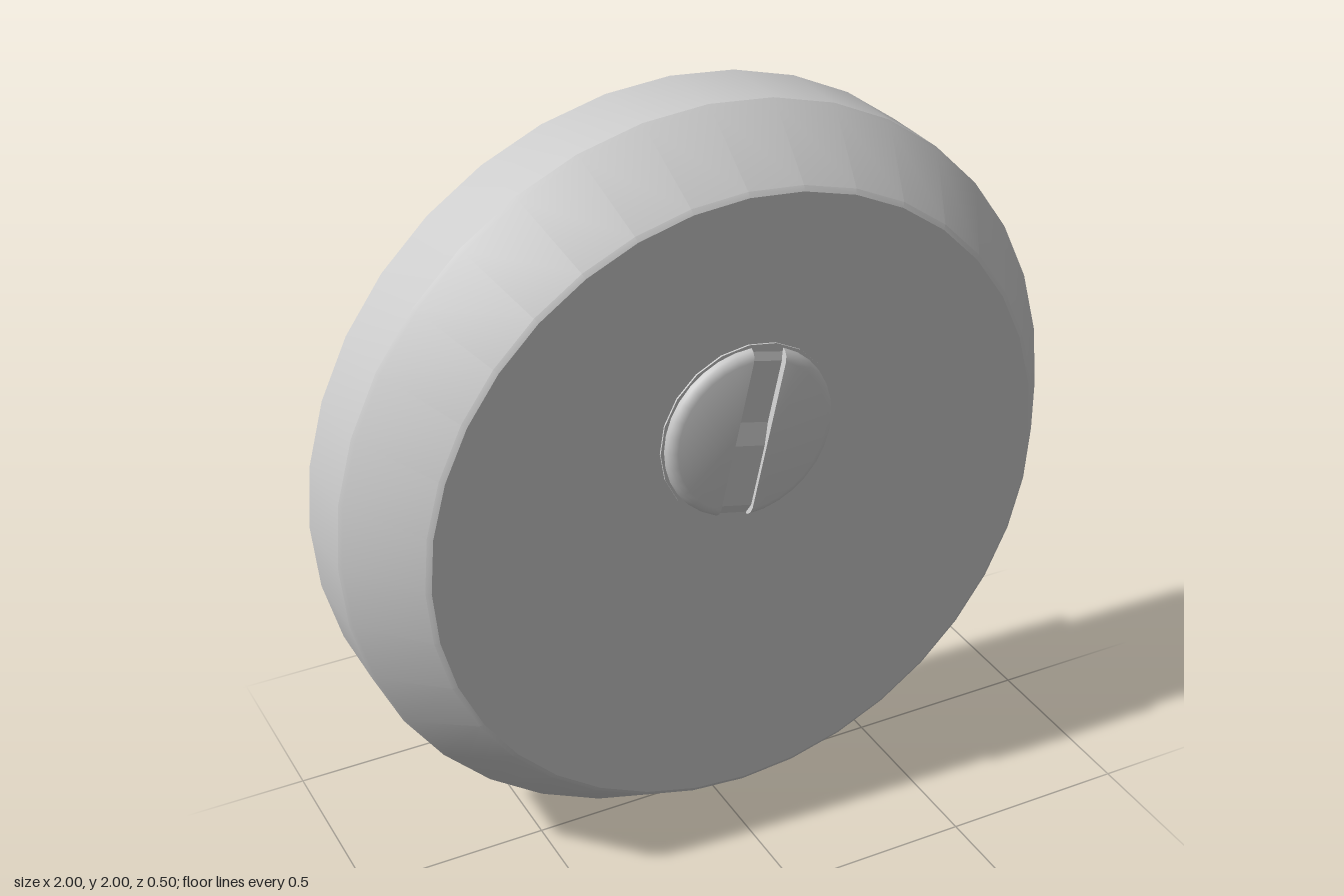
import * as THREE from 'three';
import { toCreasedNormals } from 'three/addons/utils/BufferGeometryUtils.js';

const grey = new THREE.MeshStandardMaterial({ color: 0xcccccc });
const thin = new THREE.MeshStandardMaterial({ color: 0xcccccc, side: THREE.DoubleSide });
const faceted = new THREE.MeshStandardMaterial({ color: 0xcccccc, flatShading: true });

const SLOT = 0.045; // half width of the screw slot

function add(parent, name, geometry, material) {
  const mesh = new THREE.Mesh(geometry, material);
  mesh.name = name;
  parent.add(mesh);
  return mesh;
}

// Half of the rounded screw head: a D cut off at x = SLOT, stacked in rings of [radius, z]
function headHalf() {
  const rings = [[0.232, 0.2], [0.232, 0.222], [0.228, 0.235], [0.219, 0.245], [0.205, 0.25], [SLOT, 0.25]];
  const steps = 14;
  const pos = [];
  const point = (i, j) => {
    const [r, z] = rings[i];
    const half = Math.acos(SLOT / r);
    const a = -half + (2 * half * j) / steps;
    return [r * Math.cos(a), r * Math.sin(a), z];
  };
  const quad = (a, b, c, d) => pos.push(...a, ...b, ...c, ...a, ...c, ...d);
  for (let i = 0; i < rings.length - 1; i++) {
    for (let j = 0; j < steps; j++) {
      quad(point(i, j), point(i, j + 1), point(i + 1, j + 1), point(i + 1, j));
    }
    // slot wall
    quad(point(i, steps), point(i, 0), point(i + 1, 0), point(i + 1, steps));
  }
  const g = new THREE.BufferGeometry();
  g.setAttribute('position', new THREE.Float32BufferAttribute(pos, 3));
  return toCreasedNormals(g, 0.65);
}

export function createModel() {
  const model = new THREE.Group();

  // Thin hollow cover, open at the back, with a chamfered front
  const profile = [[1, -0.19], [1, 0.012], [0.993, 0.024], [0.855, 0.212], [0.842, 0.22], [0, 0.22]];
  const cover = new THREE.LatheGeometry(profile.map(([r, z]) => new THREE.Vector2(r, z)), 36);
  cover.rotateX(Math.PI / 2);
  cover.deleteAttribute('normal');
  cover.deleteAttribute('uv');
  add(model, 'cover', toCreasedNormals(cover, 0.4), thin).position.y = 1;

  // Screw through the cover, above its centre
  const screw = new THREE.Group();
  screw.name = 'screw';
  screw.position.y = 1.22;
  model.add(screw);

  const shaft = new THREE.CylinderGeometry(0.24, 0.24, 0.475, 20);
  shaft.rotateX(Math.PI / 2);
  add(screw, 'screwShaft', shaft, faceted).position.z = -0.0125;

  const head = new THREE.Group();
  head.name = 'screwHead';
  head.rotation.z = -0.22;
  screw.add(head);
  for (const side of [0, 1]) {
    add(head, side ? 'leftHeadHalf' : 'rightHeadHalf', headHalf(), grey).rotation.z = side ? 0 : Math.PI;
  }

  // Slot floor: stepped in the middle, dropping at both ends
  const floor = new THREE.Shape([
    [-0.228, 0.2], [0.228, 0.2], [0.228, 0.222], [0.195, 0.231],
    [0.03, 0.231], [-0.03, 0.24], [-0.195, 0.24], [-0.228, 0.222],
  ].map(([v, z]) => new THREE.Vector2(v, z)));
  const slot = new THREE.ExtrudeGeometry(floor, { depth: 2 * SLOT, bevelEnabled: false });
  slot.translate(0, 0, -SLOT);
  // profile (v, z, width) -> model axes (width, v, z)
  slot.applyMatrix4(new THREE.Matrix4().set(0, 0, 1, 0, 1, 0, 0, 0, 0, 1, 0, 0, 0, 0, 0, 1));
  add(head, 'slotFloor', slot, grey);

  return model;
}
